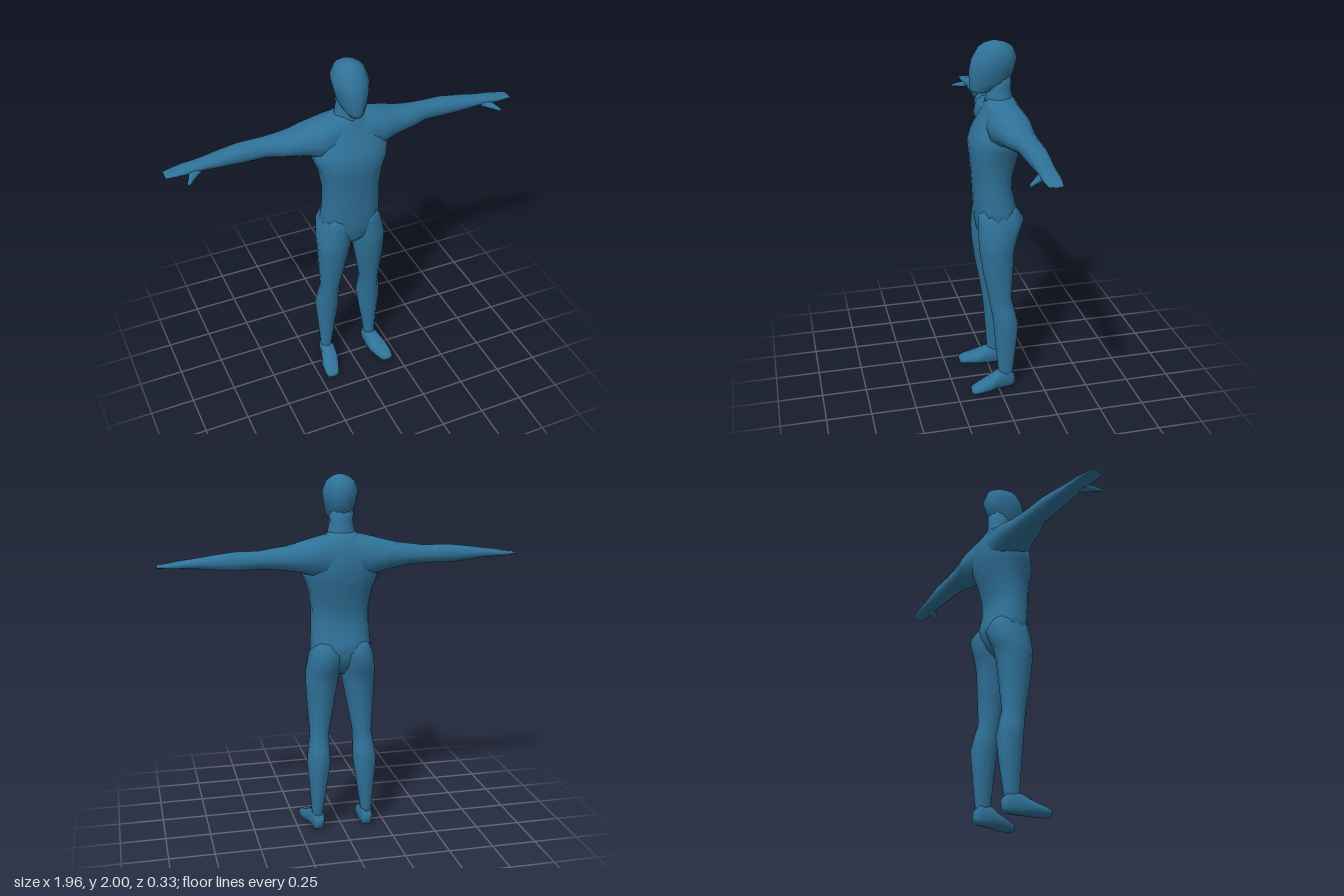
import * as THREE from 'three';

const skin = new THREE.MeshStandardMaterial({ color: 0x2f7299 });
skin.name = 'blue';

// Loft of rounded cross-sections along an axis. Each row is
// [t, aMin, aMax, bMin, bMax] with (t, a, b) = xyz, yzx or zxy.
function loft(name, axis, rows, power = 0.85, sides = 14) {
  const pos = [], index = [];
  const put = (t, a, b) => {
    if (axis === 'x') pos.push(t, a, b);
    else if (axis === 'y') pos.push(b, t, a);
    else pos.push(a, b, t);
  };
  const round = v => Math.sign(v) * Math.abs(v) ** power;
  for (const [t, a0, a1, b0, b1] of rows) {
    for (let j = 0; j < sides; j++) {
      const ang = (j / sides) * Math.PI * 2;
      put(t, (a0 + a1) / 2 + ((a1 - a0) / 2) * round(Math.cos(ang)),
        (b0 + b1) / 2 + ((b1 - b0) / 2) * round(Math.sin(ang)));
    }
  }
  const last = (rows.length - 1) * sides, caps = rows.length * sides;
  for (const [t, a0, a1, b0, b1] of [rows[0], rows[rows.length - 1]]) put(t, (a0 + a1) / 2, (b0 + b1) / 2);
  for (let j = 0; j < sides; j++) {
    const k = (j + 1) % sides;
    for (let o = 0; o < last; o += sides) {
      index.push(o + j, o + k, o + sides + j, o + k, o + sides + k, o + sides + j);
    }
    index.push(caps, k, j, caps + 1, last + j, last + k);
  }
  const geo = new THREE.BufferGeometry();
  geo.setAttribute('position', new THREE.Float32BufferAttribute(pos, 3));
  geo.setIndex(index);
  geo.computeVertexNormals();
  const mesh = new THREE.Mesh(geo, skin);
  mesh.name = name;
  return mesh;
}

// Mirror rows to the -x side
const mirrorY = rows => rows.map(([y, z0, z1, x0, x1]) => [y, z0, z1, -x1, -x0]);
const mirrorZ = rows => rows.map(([z, x0, x1, y0, y1]) => [z, -x1, -x0, y0, y1]);

export function createModel() {
  const g = new THREE.Group();
  g.name = 'figure';

  // Torso: y, z back, z front, x min, x max
  const torso = [
    [0.91, -0.05, 0.06, 0.04], [0.95, -0.09, 0.09, 0.12], [1.03, -0.14, 0.103, 0.172],
    [1.1, -0.122, 0.105, 0.165], [1.2, -0.1, 0.11, 0.161], [1.28, -0.104, 0.115, 0.16],
    [1.38, -0.13, 0.125, 0.176], [1.45, -0.15, 0.13, 0.203], [1.51, -0.156, 0.11, 0.215],
    [1.58, -0.158, 0.075, 0.19], [1.65, -0.14, 0.045, 0.12], [1.7, -0.11, 0.035, 0.07],
  ].map(([y, b, f, w]) => [y, b, f, -w, w]);
  g.add(loft('torso', 'y', torso, 0.85, 18));

  // Neck and head
  g.add(loft('neck', 'y', [
    [1.62, -0.13, 0.04, -0.1, 0.1], [1.69, -0.11, 0.04, -0.075, 0.075],
    [1.75, -0.1, 0.04, -0.064, 0.064], [1.82, -0.1, 0.03, -0.064, 0.064],
  ], 1));
  g.add(loft('head', 'y', [
    [1.73, 0.03, 0.11, -0.035, 0.035], [1.75, -0.03, 0.121, -0.05, 0.05],
    [1.79, -0.095, 0.126, -0.072, 0.072], [1.85, -0.118, 0.127, -0.085, 0.085],
    [1.91, -0.132, 0.113, -0.096, 0.096], [1.965, -0.11, 0.08, -0.075, 0.075],
    [1.988, -0.07, 0.045, -0.045, 0.045], [2, -0.025, 0.005, -0.012, 0.012],
  ], 1));

  // Arms run through the shoulders in one piece: x, y min, y max, z back, z front
  const arm = [
    [0, 1.46, 1.7, -0.15, 0.05], [0.1, 1.46, 1.688, -0.157, 0.06],
    [0.18, 1.472, 1.668, -0.162, 0.065], [0.24, 1.492, 1.652, -0.159, 0.045],
    [0.3, 1.503, 1.636, -0.148, 0.03], [0.37, 1.513, 1.627, -0.14, 0.018],
    [0.45, 1.52, 1.617, -0.136, -0.015], [0.58, 1.517, 1.617, -0.132, -0.018],
    [0.7, 1.526, 1.602, -0.12, -0.02], [0.79, 1.537, 1.588, -0.11, -0.02],
    [0.87, 1.538, 1.578, -0.108, -0.016], [0.92, 1.542, 1.567, -0.105, -0.016],
    [0.98, 1.545, 1.558, -0.092, -0.022],
  ];
  const otherArm = arm.slice(1).reverse().map(([x, ...r]) => [-x, ...r]);
  g.add(loft('armsAndShoulders', 'x', [...otherArm, ...arm], 0.85, 12));

  // Thumb: z, x min, x max, y min, y max
  const thumb = [
    [-0.06, 0.78, 0.85, 1.54, 1.57], [-0.02, 0.8, 0.865, 1.53, 1.562],
    [0.01, 0.84, 0.878, 1.526, 1.55], [0.04, 0.873, 0.892, 1.522, 1.536],
  ];
  // Leg: y, z back, z front, x inner, x outer
  const leg = [
    [0.06, -0.085, -0.005, 0.112, 0.172], [0.11, -0.088, 0, 0.11, 0.174],
    [0.25, -0.105, 0.012, 0.088, 0.185], [0.41, -0.119, 0.025, 0.064, 0.199],
    [0.48, -0.102, 0.034, 0.066, 0.19], [0.57, -0.081, 0.05, 0.068, 0.176],
    [0.72, -0.09, 0.078, 0.04, 0.187], [0.86, -0.098, 0.098, 0.014, 0.195],
    [0.93, -0.115, 0.102, 0.003, 0.196], [1.03, -0.156, 0.1, -0.01, 0.178],
    [1.1, -0.11, 0.09, 0, 0.155],
  ];
  // Foot: z, x min, x max, y min, y max
  const foot = [
    [-0.095, 0.115, 0.165, 0.012, 0.075], [-0.07, 0.105, 0.175, 0, 0.11],
    [-0.005, 0.1, 0.188, 0, 0.11], [0.06, 0.104, 0.212, 0, 0.075],
    [0.125, 0.128, 0.218, 0, 0.052], [0.155, 0.142, 0.212, 0, 0.042],
    [0.165, 0.155, 0.2, 0.008, 0.032],
  ];
  for (const [side, my, mz] of [['left', r => r, r => r], ['right', mirrorY, mirrorZ]]) {
    g.add(loft(side + 'Leg', 'y', my(leg), 0.9, 12));
    g.add(loft(side + 'Foot', 'z', mz(foot), 0.7, 12));
    g.add(loft(side + 'Thumb', 'z', mz(thumb), 0.9, 8));
  }
  return g;
}
